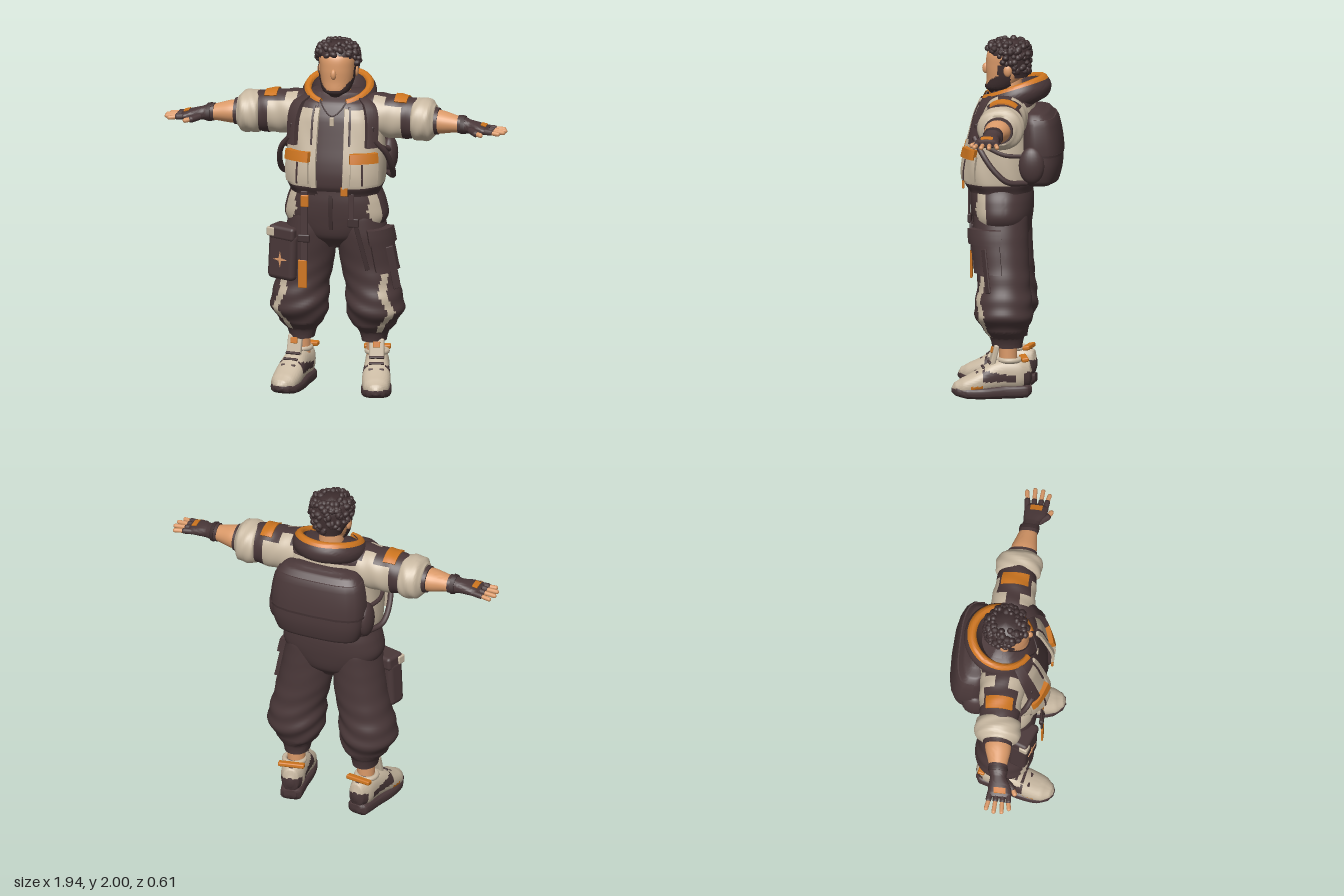
import * as THREE from 'three';
import { mergeGeometries, toCreasedNormals } from 'three/addons/utils/BufferGeometryUtils.js';
import { RoundedBoxGeometry } from 'three/addons/geometries/RoundedBoxGeometry.js';

const mat = (name, color) => Object.assign(new THREE.MeshStandardMaterial({ color, side: THREE.DoubleSide }), { name });
const dark = mat('dark cloth', 0x4a3839), cream = mat('cream cloth', 0xc9b9a2), skin = mat('skin', 0xdb9a69);
const orange = mat('orange trim', 0xcf761f), hairMat = mat('dark hair', 0x3f2f30);
const TAU = Math.PI * 2, BOTH = [1, -1], LEFT = [1], RIGHT = [-1];
const clamp = THREE.MathUtils.clamp;
const lin = (a, b, n) => Array.from({ length: n + 1 }, (_, i) => a + (b - a) * i / n);

// Surface over a grid of parameters; pick(x, y, z, u) gives the material index, -1 leaves a hole
function grid(us, ts, f, closed, pick = () => 0) {
  const pos = [], faces = {}, nu = us.length;
  ts.forEach((t, j) => us.forEach((u, i) => pos.push(...f(u, t, i, j))));
  for (let j = 0; j < ts.length - 1; j++) for (let i = 0; i < nu - (closed ? 0 : 1); i++) {
    const k = (i + 1) % nu, a = j * nu + i, b = j * nu + k, c = b + nu, d = a + nu;
    const m = n => (pos[a * 3 + n] + pos[b * 3 + n] + pos[c * 3 + n] + pos[d * 3 + n]) / 4;
    const g = pick(m(0), m(1), m(2), us[i] + 0.5 / nu);
    if (g >= 0) (faces[g] ??= []).push(a, b, c, a, c, d);
  }
  const geo = new THREE.BufferGeometry(), index = [];
  geo.setAttribute('position', new THREE.Float32BufferAttribute(pos, 3));
  for (const g in faces) {
    geo.addGroup(index.length, faces[g].length, +g);
    for (const n of faces[g]) index.push(n);
  }
  geo.setIndex(index);
  return toCreasedNormals(geo, 0.9);
}

// Shape = rings [t, centre1, centre2, radius1, radius2] along an axis, smoothly interpolated.
// Angle u: on y, 0 is front and .25 is +x; on x, 0 is top and .25 is front; on z, 0 is +x and .25 is top
const shape = (axis, rings, n = 2, fold = () => 0) => ({ axis, rings, n, fold });
function point(S, u, t, d = 0, scale = 1) {
  const R = S.rings;
  let i = 0;
  while (i < R.length - 2 && t > R[i + 1][0]) i++;
  const w = clamp((t - R[i][0]) / (R[i + 1][0] - R[i][0]), 0, 1);
  const [c1, c2, r1, r2] = [1, 2, 3, 4].map(k => {
    const [a, b, c, e] = [-1, 0, 1, 2].map(o => R[clamp(i + o, 0, R.length - 1)][k]);
    return 0.5 * (2 * b + (c - a) * w + (2 * a - 5 * b + 4 * c - e) * w * w + (3 * b - a - 3 * c + e) * w ** 3);
  });
  const bend = v => Math.sign(v) * Math.abs(v) ** (2 / S.n), k = 1 + S.fold(u, t);
  const p = c1 + (Math.max(r1, 0) * k + d) * bend(Math.sin(u * TAU)) * scale;
  const q = c2 + (Math.max(r2, 0) * k + d) * bend(Math.cos(u * TAU)) * scale;
  return S.axis === 'y' ? [p, t, q] : S.axis === 'x' ? [t, q, p] : [q, p, t];
}
function loft(S, pick, nu = 56, d = 0, sub = 6) {
  const R = S.rings, ts = [R[0][0]];
  R.slice(1).forEach((r, i) => ts.push(...lin(R[i][0], r[0], sub).slice(i ? 1 : 0)));
  ts.push(R.at(-1)[0]);
  return grid(lin(0, 1, nu).slice(0, nu), ts, (u, t, i, j) => point(S, u, t, d, j && j < ts.length - 1 ? 1 : 0), true, pick);
}
// Raised plate that follows a shape's surface
function patch(S, u0, u1, t0, t1, d) {
  const us = [u0, ...lin(u0, u1, 10), u1], ts = [t0, ...lin(t0, t1, 10), t1];
  return grid(us, ts, (u, t, i, j) =>
    point(S, u, t, i && j && i < us.length - 1 && j < ts.length - 1 ? d : -0.004), false);
}
const box = (w, h, dp, x, y, z, rx = 0, ry = 0, rz = 0, r = 0.008) =>
  new RoundedBoxGeometry(w, h, dp, 2, Math.min(r, w / 3, h / 3, dp / 3))
    .rotateZ(rz).rotateX(rx).rotateY(ry).translate(x, y, z);
const ball = (r, sx, sy, sz, x, y, z) => new THREE.SphereGeometry(r, 20, 14).scale(sx, sy, sz).translate(x, y, z);
const tube = (pts, r) => new THREE.TubeGeometry(
  new THREE.CatmullRomCurve3(pts.map(p => new THREE.Vector3(...p))), 28, r, 8);
function finger(a, b, r) {
  const A = new THREE.Vector3(...a), dir = new THREE.Vector3(...b).sub(A), len = dir.length();
  const q = new THREE.Quaternion().setFromUnitVectors(new THREE.Vector3(0, 1, 0), dir.clone().normalize());
  return new THREE.CapsuleGeometry(r, len, 4, 10).applyQuaternion(q).translate(...A.addScaledVector(dir, 0.5).toArray());
}
function mirrored(geo) {
  const g = geo.index ? geo.toNonIndexed() : geo.clone(), n = g.attributes.position.count;
  g.setIndex(Array.from({ length: n }, (_, i) => i % 3 === 0 ? i : i % 3 === 1 ? i + 1 : i - 1));
  return g.scale(-1, 1, 1);
}

export function createModel() {
  const root = new THREE.Group();
  root.name = 'character';
  const add = (name, geo, material, sides = LEFT) => sides.forEach(s => {
    const m = new THREE.Mesh(s > 0 ? geo : mirrored(geo), material);
    m.name = sides === BOTH ? (s > 0 ? 'left ' : 'right ') + name : name;
    root.add(m);
  });

  // Head, beard and ears
  const head = shape('y', [[1.69, 0, 0.065, 0.02, 0.03], [1.72, 0, 0.045, 0.068, 0.075], [1.78, 0, 0.02, 0.09, 0.1],
    [1.85, 0, 0.01, 0.099, 0.113], [1.92, 0, 0, 0.1, 0.113], [1.97, 0, -0.01, 0.06, 0.07]], 2.2);
  add('head', loft(head), skin);
  add('beard', loft(head, (x, y, z) => y < (z < 0.05 ? 1.86 : 1.732 + Math.max(0, Math.abs(x) - 0.04) * 1.1) && z > -0.02 ? 0 : -1, 80, 0.007, 10), hairMat);
  add('nose', ball(0.02, 0.8, 1.5, 1, 0, 1.825, 0.124), skin);
  add('ear', ball(0.03, 0.5, 1.1, 0.8, 0.102, 1.825, -0.005), skin, BOTH);
  add('neck', new THREE.CylinderGeometry(0.065, 0.08, 0.18, 24).translate(0, 1.69, -0.01), skin);

  // Hair: a bumpy cap covered with seeded curls
  const hair = shape('y', [[1.78, 0, -0.04, 0.075, 0.07], [1.85, 0, -0.015, 0.108, 0.105], [1.92, 0, -0.003, 0.113, 0.118],
    [1.96, 0, -0.005, 0.098, 0.1], [1.985, 0, -0.01, 0.055, 0.06]], 2);
  const bald = (x, y, z) => z > 0.025 && y < 1.935 - Math.abs(x) * 0.25;
  add('hair cap', loft(hair, (x, y, z) => bald(x, y, z) ? -1 : 0), hairMat);
  let seed = 7;
  const rnd = () => (seed = (seed * 16807) % 2147483647) / 2147483647;
  const curls = [];
  for (let i = 0; i < 170; i++) {
    const [x, y, z] = point(hair, rnd(), 1.81 + 0.175 * rnd() ** 0.7), s = 0.013 + 0.008 * rnd();
    if (!bald(x, y, z)) curls.push(new THREE.IcosahedronGeometry(s, 1).scale(1.2, 0.9, 1)
      .rotateZ(rnd() * 3).translate(x, Math.min(y, 1.982), z));
  }
  add('curls', mergeGeometries(curls), hairMat);

  // Shirt, open jacket and hem
  const torso = [[1.15, 0, 0.04, 0.25, 0.18], [1.2, 0, 0.045, 0.27, 0.2], [1.3, 0, 0.045, 0.275, 0.2],
    [1.45, 0, 0.03, 0.27, 0.185], [1.58, 0, 0.015, 0.265, 0.17], [1.66, 0, 0, 0.235, 0.145], [1.71, 0, -0.03, 0.15, 0.11]];
  const crease = (u, t) => 0.012 * Math.sin(u * TAU * 9 + t * 18);
  const jacket = shape('y', torso, 2.6, crease), ju = x => Math.asin((x / 0.272) ** 1.3) / TAU;
  add('shirt', loft(shape('y', torso.map(r => [r[0], r[1], r[2], r[3] - 0.03, r[4] - 0.025]), 2.5)), dark);
  add('jacket', loft(jacket, (x, y, z) => z > 0 && Math.abs(x) < 0.078 ? -1 : y < 1.2 || y > 1.635 ? 1 : 0, 100), [cream, dark]);
  add('jacket front edge', patch(jacket, ju(0.075), ju(0.1), 1.2, 1.64, 0.01), cream, BOTH);
  add('zip', patch(jacket, ju(0.102), ju(0.113), 1.44, 1.65, 0.008), dark, BOTH);
  add('jacket pocket', patch(jacket, ju(0.115), ju(0.245), 1.22, 1.36, 0.016), cream, BOTH);
  add('pocket tab', patch(jacket, ju(0.11), ju(0.24), 1.345, 1.4, 0.026), orange, BOTH);
  add('pocket seam', patch(jacket, ju(0.17), ju(0.178), 1.22, 1.34, 0.02), dark, BOTH);
  add('pack shoulder strap', patch(jacket, ju(0.19), ju(0.242), 1.43, 1.69, 0.026), dark, BOTH);
  add('strap clip', box(0.05, 0.035, 0.03, 0.215, 1.53, 0.155), hairMat, BOTH);
  add('hem tab', box(0.04, 0.05, 0.012, 0.085, 1.185, 0.243), orange);
  add('necklace', tube([[-0.08, 1.68, 0.12], [-0.04, 1.62, 0.15], [0, 1.595, 0.165], [0.04, 1.62, 0.15], [0.08, 1.68, 0.12]], 0.004), hairMat);
  add('pendant', box(0.024, 0.05, 0.012, 0, 1.565, 0.168), cream);

  // Hood: a thick collar swept around the neck, rim in orange
  const profile = new THREE.SplineCurve([[-0.03, -0.15], [0.025, -0.115], [0.042, -0.06], [0.02, -0.014], [0, 0],
    [-0.022, -0.008], [-0.035, -0.04], [-0.07, -0.11]].map(p => new THREE.Vector2(...p)));
  const rimY = a => 1.795 - 0.115 * ((1 - Math.cos(a)) / 2) ** 1.3;
  add('hood', grid(lin(2.72, -2.72, 64), lin(0, 1, 42), (a, v) => {
    const p = profile.getPoint(v), k = 0.65 + 0.35 * Math.cos(a / 2) ** 2;
    return [Math.sin(a) * (0.175 + p.x * k), rimY(a) + p.y, -0.03 - Math.cos(a) * (0.17 + p.x * k)];
  }, false, (x, y, z) => {
    const a = Math.atan2(x / 0.175, -(z + 0.03) / 0.17);
    return y > rimY(a) - 0.022 ? 1 : 0;
  }), [dark, orange]);

  // Sleeves with rolled cuffs and shoulder patches
  const sleeve = shape('x', [[0.08, -0.01, 1.59, 0.1, 0.1], [0.2, 0, 1.585, 0.125, 0.118], [0.3, 0, 1.575, 0.12, 0.122],
    [0.38, 0.003, 1.572, 0.113, 0.12], [0.46, 0.005, 1.57, 0.105, 0.11]], 2.1, (u, t) => 0.02 * Math.sin(u * TAU * 3 + t * 60));
  add('sleeve', loft(sleeve, (x, y, z, u) => {
    const top = Math.min(u, 1 - u);
    return x > 0.385 || (top < 0.14 && (x < 0.21 || x > 0.29 || top < 0.05)) ? 1 : 0;
  }, 64), [cream, dark], BOTH);
  add('shoulder patch', patch(sleeve, -0.11, 0.1, 0.335, 0.405, 0.008), orange, BOTH);
  add('rolled cuff', loft(shape('x', [[0.425, 0.005, 1.565, 0.09, 0.1], [0.44, 0.005, 1.566, 0.122, 0.114],
    [0.49, 0.005, 1.566, 0.13, 0.12], [0.535, 0.008, 1.565, 0.122, 0.112], [0.56, 0.01, 1.565, 0.09, 0.085]], 2.1,
  (u, t) => 0.02 * Math.sin(u * TAU * 4 + t * 90))), cream, BOTH);
  add('sleeve lining', loft(shape('x', [[0.53, 0.012, 1.563, 0.085, 0.08], [0.58, 0.015, 1.562, 0.08, 0.074]])), dark, BOTH);

  // Forearms, gloves and fingers
  add('forearm', loft(shape('x', [[0.5, 0.015, 1.563, 0.072, 0.068], [0.6, 0.02, 1.56, 0.072, 0.064],
    [0.67, 0.028, 1.556, 0.056, 0.05], [0.74, 0.035, 1.55, 0.042, 0.038]]), undefined, 32), skin, BOTH);
  const glove = shape('x', [[0.695, 0.032, 1.555, 0.053, 0.05], [0.73, 0.036, 1.553, 0.05, 0.046], [0.76, 0.042, 1.548, 0.046, 0.038],
    [0.81, 0.055, 1.543, 0.062, 0.032], [0.86, 0.06, 1.538, 0.066, 0.024], [0.875, 0.06, 1.536, 0.056, 0.016]], 2.3);
  add('glove', loft(glove, undefined, 36), dark, BOTH);
  add('glove patch', patch(glove, -0.07, 0.07, 0.83, 0.86, 0.005), orange, BOTH);
  add('wrist strap', patch(glove, 0, 1, 0.712, 0.735, 0.006), hairMat, BOTH);
  [0.008, 0.043, 0.078, 0.108].forEach((z, i) => {
    const tip = [0.945, 0.96, 0.957, 0.935][i], z1 = z + (i - 1.4) * 0.009;
    add('finger sleeve ' + i, finger([0.85, 1.538, z], [0.892, 1.535, z + (z1 - z) * 0.4], 0.0165), dark, BOTH);
    add('fingertip ' + i, finger([0.87, 1.536, z], [tip, 1.53, z1], 0.0125), skin, BOTH);
  });
  add('thumb sleeve', finger([0.775, 1.535, 0.085], [0.81, 1.528, 0.125], 0.02), dark, BOTH);
  add('thumb', finger([0.81, 1.528, 0.125], [0.84, 1.524, 0.143], 0.014), skin, BOTH);

  // Backpack with side pockets, seam and lower strap loops
  const pack = shape('y', [[1.19, 0, -0.18, 0.19, 0.07], [1.21, 0, -0.185, 0.24, 0.1], [1.29, 0, -0.19, 0.265, 0.113],
    [1.365, 0, -0.19, 0.27, 0.113], [1.46, 0, -0.185, 0.268, 0.108], [1.56, 0, -0.175, 0.25, 0.095], [1.6, 0, -0.165, 0.215, 0.07], [1.615, 0, -0.16, 0.15, 0.04]], 3);
  add('backpack', loft(pack, undefined, 72), dark);
  add('backpack flap', patch(pack, 0.24, 0.76, 1.375, 1.57, 0.008), dark);
  add('backpack seam', patch(pack, 0.2, 0.8, 1.362, 1.374, 0.009), hairMat);
  add('pack side pocket', ball(0.08, 0.55, 1.3, 0.9, 0.265, 1.32, -0.15), dark, BOTH);
  add('strap loop', tube([[0.24, 1.47, 0.17], [0.295, 1.4, 0.13], [0.318, 1.3, 0.06], [0.31, 1.23, -0.02], [0.26, 1.22, -0.12]], 0.016), dark, BOTH);
  add('side strap', tube([[0.27, 1.42, 0.1], [0.29, 1.38, 0], [0.26, 1.37, -0.1]], 0.012), dark, BOTH);

  // Baggy trousers with cream stripes
  const hips = shape('y', [[0.83, 0, 0.03, 0.06, 0.08], [0.9, 0, 0.03, 0.2, 0.145], [1, 0, 0.03, 0.288, 0.168],
    [1.1, 0, 0.032, 0.278, 0.176], [1.18, 0, 0.035, 0.25, 0.17]], 2.3);
  add('hips', loft(hips, (x, y, z, u) => {
    const a = Math.min(u, 1 - u);
    return y > 0.95 && a > 0.125 + 0.01 * Math.sin(y * 40) && a < 0.185 ? 1 : 0;
  }, 90), [dark, cream]);
  add('fly seam', patch(hips, -0.004, 0.004, 0.95, 1.15, 0.005), hairMat);
  const leg = shape('y', [[0.285, 0.205, -0.01, 0.07, 0.085], [0.34, 0.205, -0.008, 0.085, 0.095], [0.38, 0.205, 0, 0.125, 0.125],
    [0.48, 0.215, 0.01, 0.163, 0.162], [0.6, 0.2, 0.01, 0.152, 0.15], [0.75, 0.168, 0.015, 0.15, 0.145],
    [0.9, 0.15, 0.028, 0.142, 0.152], [1.02, 0.14, 0.03, 0.125, 0.15], [1.1, 0.13, 0.03, 0.1, 0.13]], 2.1,
  (u, t) => 0.035 * clamp((0.8 - t) * 3, 0.1, 1) * (t < 0.35 ? 0.3 : 1) * Math.sin(t * 55 + Math.sin(u * TAU) * 2.5 + Math.cos(u * TAU * 2) * 1.5));
  add('trouser leg', loft(leg, (x, y, z, u) => {
    const zig = 0.018 * Math.sin(y * 30);
    return y > 0.345 && y < 0.7 && u > 0.075 + zig && u < 0.128 + zig ? 1 : 0;
  }, 72, 0, 8), [dark, cream], BOTH);

  // Left cargo pocket and straps
  add('cargo pocket', patch(leg, 0.07, 0.25, 0.71, 0.9, 0.03), dark);
  add('cargo flap', patch(leg, 0.06, 0.26, 0.87, 0.955, 0.042), dark);
  add('left hip buckle', box(0.065, 0.05, 0.02, 0.13, 1, 0.205), hairMat);
  add('left hip strap', box(0.025, 0.3, 0.01, 0.17, 0.87, 0.19, 0.06, 0.15, 0.25), hairMat);
  add('left belt strap', box(0.03, 0.15, 0.01, 0.12, 1.09, 0.21), dark);
  add('hanging strap', box(0.045, 0.25, 0.012, 0.335, 0.73, 0.1, 0, 0.6, 0.2), dark);

  // Right hip pouch and hanging orange strap
  const turn = (g, y = -0.35) => g.rotateY(y).translate(-0.275, 0.78, 0.12);
  add('pouch', turn(box(0.175, 0.27, 0.11, 0, -0.005, 0, 0, 0, -0.05, 0.03)), dark);
  add('pouch flap', turn(box(0.165, 0.08, 0.12, 0.005, 0.13, 0, 0, 0, -0.05, 0.02)), dark);
  add('pouch tag', turn(box(0.05, 0.05, 0.05, -0.06, 0.135, 0.04)), cream);
  const star = new THREE.Shape(lin(0, 7, 7).map(i => {
    const r = i % 2 ? 0.011 : 0.046, a = i * Math.PI / 4;
    return new THREE.Vector2(Math.sin(a) * r, Math.cos(a) * r);
  }));
  add('pouch star', turn(new THREE.ExtrudeGeometry(star, { depth: 0.006, bevelEnabled: false }).translate(0, -0.02, 0.053)), skin);
  add('right belt strap', box(0.04, 0.4, 0.012, -0.148, 0.97, 0.212), dark);
  add('belt strap tab', box(0.045, 0.07, 0.02, -0.145, 1.115, 0.214), orange);
  add('right buckle', box(0.07, 0.045, 0.025, -0.15, 0.9, 0.212), hairMat);
  add('orange strap', box(0.05, 0.16, 0.012, -0.157, 0.695, 0.215), orange);

  // Shoes and ankles, toes turned slightly out
  const foot = g => g.rotateY(0.18).translate(0.222, 0, 0);
  add('ankle', new THREE.CylinderGeometry(0.05, 0.05, 0.16, 24).translate(0.21, 0.25, -0.015), skin, BOTH);
  add('sole', foot(loft(shape('z', [[-0.145, 0.05, 0, 0.025, 0.035], [-0.12, 0.042, 0, 0.038, 0.06], [0, 0.04, 0, 0.04, 0.07],
    [0.12, 0.037, 0, 0.037, 0.085], [0.22, 0.038, 0, 0.034, 0.08], [0.28, 0.046, 0, 0.026, 0.05], [0.3, 0.05, 0, 0.012, 0.02]], 3.2))), dark, BOTH);
  const upper = shape('z', [[-0.148, 0.13, 0, 0.03, 0.02], [-0.135, 0.135, 0, 0.07, 0.045], [-0.08, 0.135, 0, 0.088, 0.066],
    [0, 0.135, 0, 0.09, 0.068], [0.08, 0.12, 0, 0.085, 0.074], [0.16, 0.09, 0, 0.068, 0.08], [0.24, 0.066, 0, 0.052, 0.07],
    [0.285, 0.06, 0, 0.032, 0.04], [0.298, 0.058, 0, 0.012, 0.015]], 2.3);
  add('shoe upper', foot(loft(upper, (x, y, z) => {
    if (z > 0.13 && z < 0.2 && y < 0.078 && x > 0) return 2;
    const side = y > 0.1 && y < 0.14 + z * 0.2 && z > -0.06 && z < 0.13;
    return side || (z < -0.1 && y < 0.15) || (y > 0.21 && z < 0.04) ? 1 : 0;
  }, 64)), [cream, dark, orange], BOTH);
  add('shoe tongue', foot(box(0.085, 0.14, 0.03, 0, 0.235, 0.065, -0.25, 0, 0, 0.012)), cream, BOTH);
  add('tongue tab', foot(box(0.04, 0.035, 0.012, 0, 0.275, 0.074, -0.25)), orange, BOTH);
  for (const z of [0.09, 0.125, 0.16]) add('lace', foot(box(0.085, 0.012, 0.016, 0, 0.275 - z * 0.78, z, 0.5)), dark, BOTH);
  add('shoe collar', foot(new THREE.TorusGeometry(0.056, 0.015, 10, 28).rotateX(Math.PI / 2).translate(0, 0.215, -0.025)), cream, BOTH);
  add('heel pull', foot(box(0.15, 0.025, 0.04, 0, 0.222, -0.105, 0.15)), orange, BOTH);
  return root;
}
